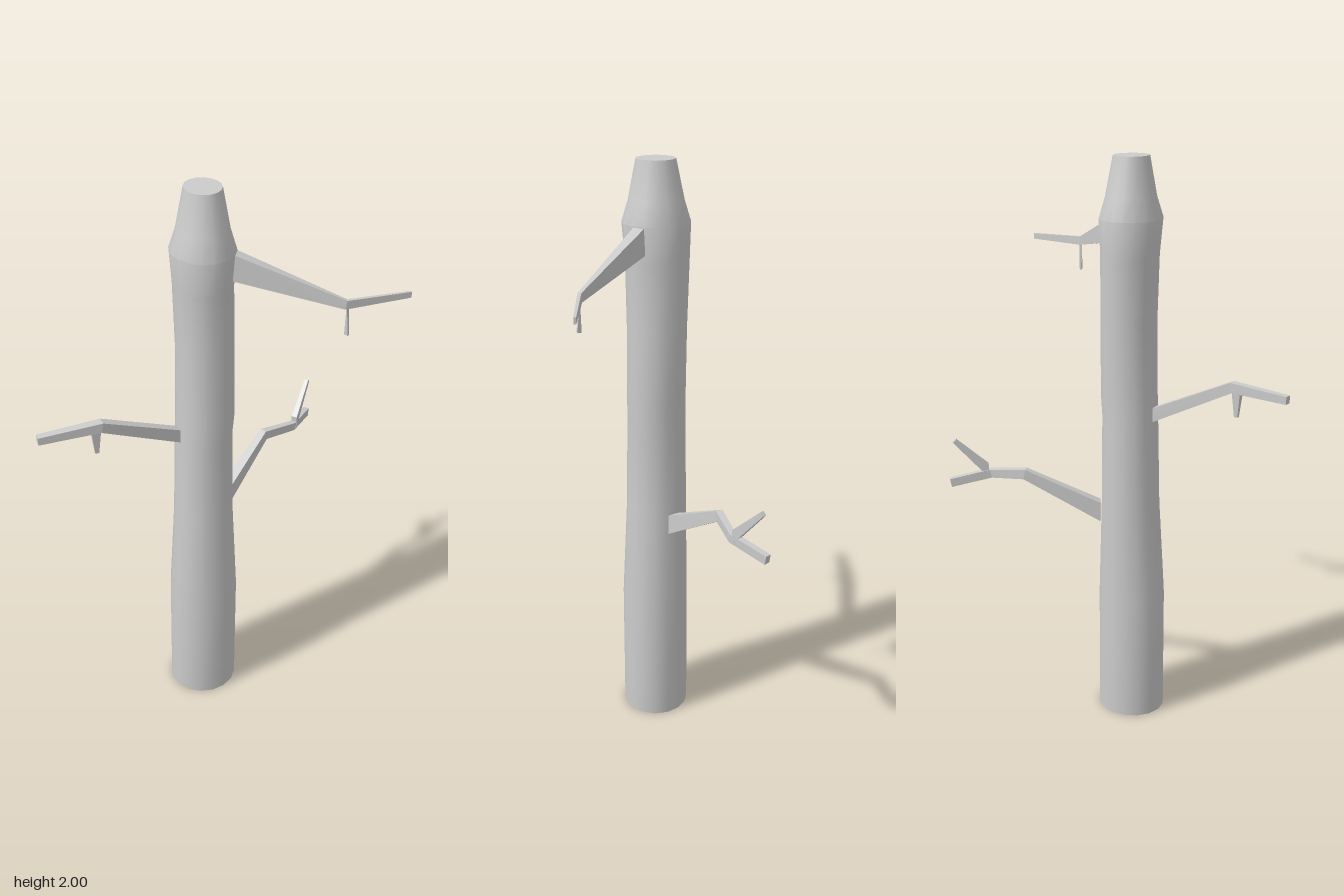
import * as THREE from 'three';
import { toCreasedNormals } from 'three/addons/utils/BufferGeometryUtils.js';

const material = new THREE.MeshStandardMaterial({ color: 0xcccccc });

// Skin a list of rings (counterclockwise seen from the far end) and cap both ends
function loft(rings, crease) {
  const n = rings[0].length, pos = [];
  const tri = (...pts) => pts.forEach(p => pos.push(p.x, p.y, p.z));
  for (let i = 0; i < rings.length - 1; i++) {
    for (let j = 0; j < n; j++) {
      const k = (j + 1) % n;
      const [a, b, c, d] = [rings[i][j], rings[i][k], rings[i + 1][k], rings[i + 1][j]];
      tri(a, b, c);
      tri(a, c, d);
    }
  }
  const first = rings[0], last = rings[rings.length - 1];
  for (let j = 1; j < n - 1; j++) {
    tri(first[0], first[j + 1], first[j]);
    tri(last[0], last[j], last[j + 1]);
  }
  const geometry = new THREE.BufferGeometry();
  geometry.setAttribute('position', new THREE.Float32BufferAttribute(pos, 3));
  geometry.computeVertexNormals();
  return toCreasedNormals(geometry, crease);
}

// Four-sided limb along stations of [x, y, z, height, width]
function limb(name, stations) {
  const pts = stations.map(s => new THREE.Vector3(s[0], s[1], s[2]));
  const up = new THREE.Vector3(0, 1, 0);
  const rings = stations.map(([, , , h, w], i) => {
    const dir = (a, b) => pts[b].clone().sub(pts[a]).normalize();
    const t = new THREE.Vector3();
    if (i > 0) t.add(dir(i - 1, i));
    if (i < pts.length - 1) t.add(dir(i, i + 1));
    t.normalize();
    const s = t.clone().cross(up);
    const vertical = s.length() < 0.01;
    if (vertical) s.set(0, 0, 1);
    s.normalize();
    // the root of a limb is cut vertically where it meets the wood
    const u = i === 0 && !vertical ? up.clone().negate() : t.clone().cross(s);
    return [[1, 1], [-1, 1], [-1, -1], [1, -1]].map(([a, b]) =>
      pts[i].clone().addScaledVector(s, a * w / 2).addScaledVector(u, b * h / 2));
  });
  const mesh = new THREE.Mesh(loft(rings, 0.1), material);
  mesh.name = name;
  return mesh;
}

// Trunk rings: [y, xMin, xMax, zMin, zMax]
function trunk() {
  const sides = 16;
  const rings = [
    [0, -0.14, 0.103, -0.045, 0.185],
    [0.46, -0.138, 0.103, -0.045, 0.184],
    [0.8, -0.118, 0.087, -0.041, 0.167],
    [1.13, -0.11, 0.082, -0.038, 0.16],
    [1.2, -0.108, 0.088, -0.038, 0.16],
    [1.45, -0.104, 0.085, -0.042, 0.157],
    [1.68, -0.11, 0.08, -0.05, 0.16],
    [1.8, -0.12, 0.087, -0.054, 0.17],
    [1.87, -0.098, 0.066, -0.033, 0.148],
    [2, -0.075, 0.042, -0.006, 0.122],
  ].map(([y, x0, x1, z0, z1]) => Array.from({ length: sides }, (_, j) => {
    const a = (j / sides) * Math.PI * 2;
    return new THREE.Vector3(
      (x0 + x1) / 2 + Math.cos(a) * (x1 - x0) / 2, y,
      (z0 + z1) / 2 - Math.sin(a) * (z1 - z0) / 2);
  }));
  const mesh = new THREE.Mesh(loft(rings, 0.5), material);
  mesh.name = 'trunk';
  return mesh;
}

export function createModel() {
  const model = new THREE.Group();
  model.name = 'bareTree';
  model.add(trunk());

  // High branch, front left, with a short hanging twig
  model.add(
    limb('upperBranch', [
      [0.062, 1.755, 0.108, 0.09, 0.04],
      [0.365, 1.655, 0.282, 0.03, 0.012],
      [0.585, 1.65, 0.282, 0.02, 0.008],
    ]),
    limb('upperTwig', [
      [0.37, 1.65, 0.283, 0.032, 0.01],
      [0.372, 1.55, 0.287, 0.014, 0.007],
    ]),
  );

  // Middle branch on the right side, with a short hanging twig
  model.add(
    limb('middleBranch', [
      [-0.09, 1.135, 0.07, 0.05, 0.03],
      [-0.38, 1.275, 0.125, 0.035, 0.03],
      [-0.585, 1.268, 0.125, 0.026, 0.024],
    ]),
    limb('middleTwig', [
      [-0.398, 1.265, 0.125, 0.032, 0.02],
      [-0.398, 1.175, 0.125, 0.013, 0.01],
    ]),
  );

  // Low branch, back left, ending in a fork
  model.add(
    limb('lowerBranch', [
      [0.075, 0.768, 0.005, 0.07, 0.04],
      [0.292, 0.903, -0.145, 0.036, 0.025],
      [0.42, 0.888, -0.18, 0.03, 0.022],
      [0.52, 0.862, -0.285, 0.03, 0.022],
    ]),
    limb('lowerFork', [
      [0.428, 0.897, -0.185, 0.05, 0.02],
      [0.51, 1.015, -0.268, 0.016, 0.014],
    ]),
  );
  return model;
}
